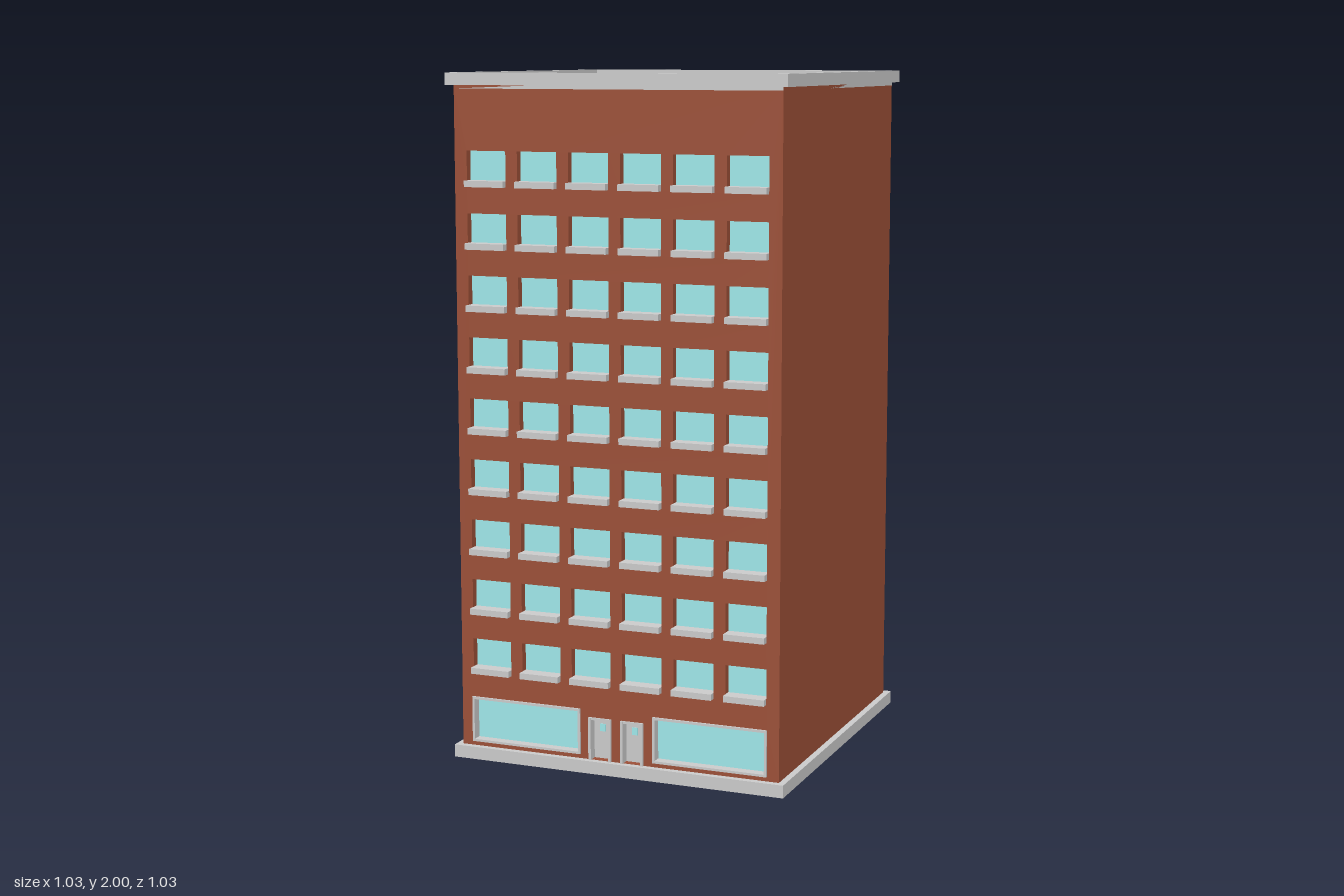
import * as THREE from 'three';

const grey = new THREE.MeshStandardMaterial({ color: 0xcccccc });
const brick = new THREE.MeshStandardMaterial({ color: 0xa0522d });
brick.color.set(0x9c5038);
const glass = new THREE.MeshStandardMaterial({ color: 0x9fe8ea });

// Overall extents of the walls and of the slabs that overhang them
const X0 = -0.456, X1 = 0.533, Z0 = -0.55, Z1 = 0.44;
const LIP = 0.019, BASE = 0.037, ROOF = 1.965, TOP = 2;
const RECESS = 0.025;

function box(parent, name, mat, x0, x1, y0, y1, z0, z1) {
  const mesh = new THREE.Mesh(new THREE.BoxGeometry(x1 - x0, y1 - y0, z1 - z0), mat);
  mesh.position.set((x0 + x1) / 2, (y0 + y1) / 2, (z0 + z1) / 2);
  mesh.name = name;
  parent.add(mesh);
  return mesh;
}

function rectPath(path, x0, x1, y0, y1) {
  path.moveTo(x0, y0);
  path.lineTo(x1, y0);
  path.lineTo(x1, y1);
  path.lineTo(x0, y1);
  path.closePath();
  return path;
}

// Rectangular trim with an opening, extruded along z
function frame(parent, name, x0, x1, y0, y1, t, z0, z1) {
  const shape = rectPath(new THREE.Shape(), x0, x1, y0, y1);
  shape.holes.push(rectPath(new THREE.Path(), x0 + t, x1 - t, y0 + t, y1 - t));
  const mesh = new THREE.Mesh(
    new THREE.ExtrudeGeometry(shape, { depth: z1 - z0, bevelEnabled: false }), grey);
  mesh.position.z = z0;
  mesh.name = name;
  parent.add(mesh);
  return mesh;
}

export function createModel() {
  const model = new THREE.Group();
  model.name = 'apartmentBlock';

  // Base slab, roof deck and raised parapet
  box(model, 'baseSlab', grey, X0 - LIP, X1 + LIP, 0, BASE, Z0 - LIP, Z1 + LIP);
  box(model, 'roofDeck', grey, X0, X1, ROOF - 0.01, ROOF + 0.008, Z0, Z1);
  const parapet = frame(model, 'parapet', X0 - LIP, X1 + LIP, Z0 - LIP, Z1 + LIP, LIP, 0, TOP - ROOF);
  parapet.rotation.x = Math.PI / 2;
  parapet.position.set(0, TOP, 0);

  // Solid core behind a pierced front wall
  box(model, 'walls', brick, X0, X1, BASE, ROOF, Z0, Z1 - RECESS);
  const facade = rectPath(new THREE.Shape(), X0, X1, BASE, ROOF);
  const glassZ = Z1 - RECESS;

  // Six columns by nine floors of recessed windows with projecting sills
  const windows = new THREE.Group();
  windows.name = 'windows';
  model.add(windows);
  for (let floor = 0; floor < 9; floor++) {
    for (let col = 0; col < 6; col++) {
      const x = -0.357 + col * 0.158, y = 0.258 + floor * 0.1776, w = 0.061;
      facade.holes.push(rectPath(new THREE.Path(), x - w, x + w, y, y + 0.102));
      box(windows, 'windowPane', glass, x - w, x + w, y, y + 0.102, glassZ - 0.005, glassZ + 0.002);
      box(windows, 'windowSill', grey, x - w, x + w, y, y + 0.018, glassZ, Z1 + 0.02);
    }
  }

  // Wide ground-floor shop windows
  for (const [x0, x1] of [[-0.422, -0.075], [0.151, 0.497]]) {
    facade.holes.push(rectPath(new THREE.Path(), x0, x1, 0.05, 0.185));
    box(model, 'shopWindowPane', glass, x0, x1, 0.05, 0.185, glassZ - 0.005, glassZ + 0.002);
    frame(model, 'shopWindowFrame', x0, x1, 0.05, 0.185, 0.007, glassZ, Z1 + 0.006);
  }

  // Pair of entrance doors with small lights
  for (const x of [-0.013, 0.087]) {
    const w = 0.035, top = 0.163;
    facade.holes.push(rectPath(new THREE.Path(), x - w, x + w, BASE + 0.001, top));
    box(model, 'door', grey, x - w, x + w, BASE, top, glassZ - 0.005, glassZ + 0.005);
    box(model, 'doorLight', glass, x - 0.009, x + 0.009, 0.119, 0.141, glassZ, glassZ + 0.007);
    for (const s of [-1, 1]) {
      const px = x + s * (w - 0.004);
      box(model, 'doorJamb', grey, px - 0.004, px + 0.004, BASE, top, glassZ, Z1 + 0.008);
    }
    box(model, 'doorHead', grey, x - w, x + w, top - 0.007, top, glassZ, Z1 + 0.004);
  }

  const front = new THREE.Mesh(
    new THREE.ExtrudeGeometry(facade, { depth: RECESS, bevelEnabled: false }), brick);
  front.position.z = glassZ;
  front.name = 'frontWall';
  model.add(front);

  return model;
}
